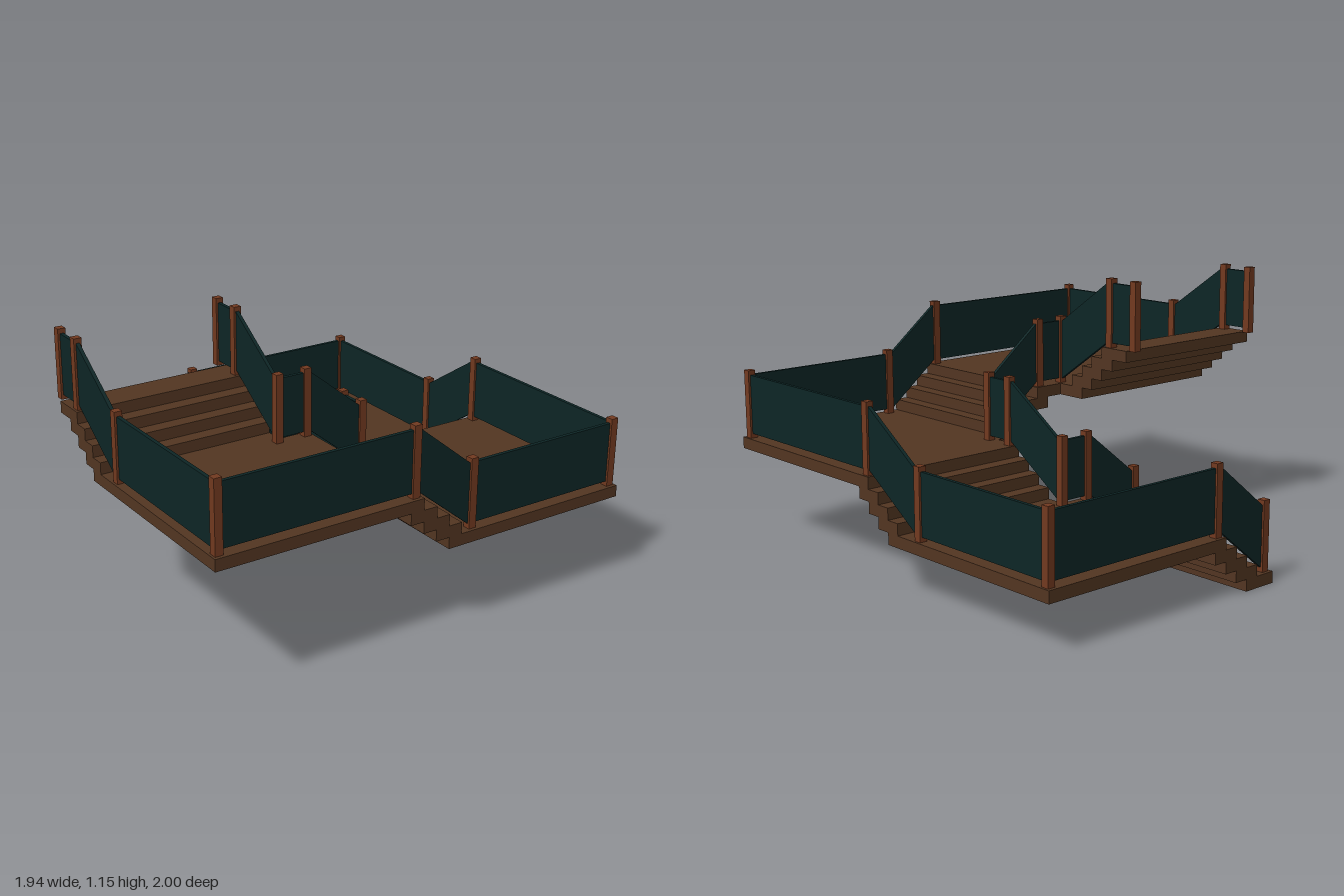
import * as THREE from 'three';

const deckMat = new THREE.MeshStandardMaterial({ color: 0x533622 });
deckMat.name = 'dark wood';
const postMat = new THREE.MeshStandardMaterial({ color: 0x733a20 });
postMat.name = 'red wood';
const panelMat = new THREE.MeshStandardMaterial({ color: 0x0d2626 });
panelMat.name = 'dark teal';

const THICK = 0.05, PITCH = 0.0625, POST = 0.034, POST_H = 0.3;
const OUT_X = 0.972, IN_R = 0.18, IN_L = -0.187, IN_B = -0.209, IN_F = 0.204;

// Board whose upper face is at y = top
function slab(parent, name, x0, x1, z0, z1, top) {
  const m = new THREE.Mesh(new THREE.BoxGeometry(x1 - x0, THICK, z1 - z0), deckMat);
  m.position.set((x0 + x1) / 2, top - THICK / 2, (z0 + z1) / 2);
  m.name = name;
  parent.add(m);
}

// Vertical panel between two posts, sheared to follow the rise
function panel(parent, a, b) {
  const dx = b[0] - a[0], dz = b[1] - a[1], rise = b[2] - a[2];
  const len = Math.hypot(dx, dz) - POST;
  const geo = new THREE.BoxGeometry(len, 0.26, 0.016);
  const p = geo.attributes.position;
  for (let i = 0; i < p.count; i++) p.setY(i, p.getY(i) + (p.getX(i) / len) * rise);
  geo.computeVertexNormals();
  const m = new THREE.Mesh(geo, panelMat);
  m.position.set((a[0] + b[0]) / 2, (a[2] + b[2]) / 2 + 0.15, (a[1] + b[1]) / 2);
  m.rotation.y = Math.atan2(-dz, dx);
  m.name = 'railPanel';
  parent.add(m);
}

// Railing along points [x, z, floor height]
function railing(name, points) {
  const g = new THREE.Group();
  g.name = name;
  points.forEach((pt, i) => {
    const post = new THREE.Mesh(new THREE.BoxGeometry(POST, POST_H, POST), postMat);
    post.position.set(pt[0], pt[2] + POST_H / 2, pt[1]);
    post.name = 'railPost';
    g.add(post);
    if (i) panel(g, points[i - 1], pt);
  });
  return g;
}

export function createModel() {
  const model = new THREE.Group();
  model.name = 'squareSpiralStairs';

  // Landings, each a main board with a neck beside the open well
  const landings = new THREE.Group();
  landings.name = 'landings';
  slab(landings, 'lowerLanding', IN_R, OUT_X, -1, -0.06, 0.25);
  slab(landings, 'lowerLandingNeck', 0.043, IN_R, -1, IN_B, 0.25);
  slab(landings, 'middleLanding', IN_R, OUT_X, 0.067, 1, 0.45);
  slab(landings, 'middleLandingNeck', 0.08, IN_R, IN_F, 1, 0.45);
  slab(landings, 'upperLanding', -OUT_X, IN_L, 0.065, 1, 0.65);
  slab(landings, 'upperLandingNeck', IN_L, -0.048, IN_F, 1, 0.65);
  model.add(landings);

  // Flights of overlapping treads
  const flights = new THREE.Group();
  flights.name = 'flights';
  slab(flights, 'bottomTread', -0.243, -0.083, -1, IN_B, 0.05);
  for (let i = 0; i < 3; i++) {
    const s = i * PITCH, up = i * THICK;
    slab(flights, 'firstFlightTread', -0.145 + s, -0.02 + s, -1, IN_B, 0.1 + up);
    slab(flights, 'secondFlightTread', IN_R, OUT_X, -0.123 + s, 0.003 + s, 0.3 + up);
    slab(flights, 'thirdFlightTread', 0.015 - s, 0.141 - s, IN_F, 1, 0.5 + up);
    slab(flights, 'fourthFlightTread', -OUT_X, IN_L, 0.002 - s, 0.128 - s, 0.7 + up);
  }
  slab(flights, 'topTread', -OUT_X, IN_L, IN_B, -0.06, 0.85);
  model.add(flights);

  // Railings around the outside and around the open well
  const E = 0.945, Z = 0.968;
  model.add(railing('outerRailing', [
    [-0.213, -Z, 0.05], [0.07, -Z, 0.25], [E, -Z, 0.25],
    [E, -0.236, 0.25], [E, 0.097, 0.45], [E, Z, 0.45],
    [0.207, Z, 0.45], [-0.076, Z, 0.65], [-E, Z, 0.65],
    [-E, 0.232, 0.65], [-E, -0.092, 0.85], [-E, -0.236, 0.85],
  ]));
  model.add(railing('innerRailing', [
    [-0.213, -0.236, 0.05], [0.07, -0.236, 0.25], [0.207, -0.236, 0.25],
    [0.207, 0.097, 0.45], [0.207, 0.232, 0.45],
    [-0.076, 0.232, 0.65], [-0.213, 0.232, 0.65],
    [-0.213, -0.092, 0.85], [-0.213, -0.236, 0.85],
  ]));
  return model;
}
